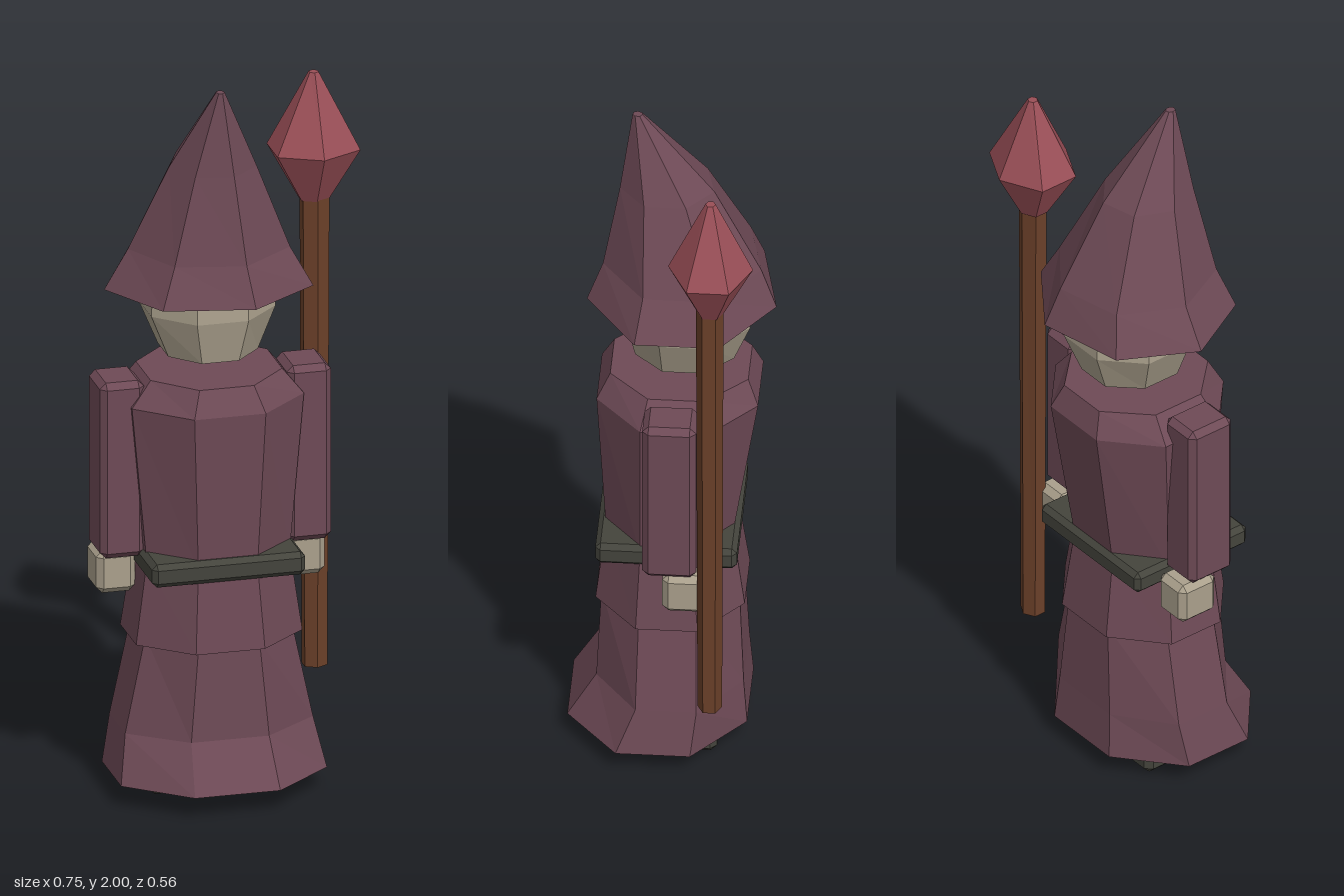
import * as THREE from 'three';
import { ConvexGeometry } from 'three/addons/geometries/ConvexGeometry.js';

const CX = -0.057; // the figure stands left of the staff

function makeMaterial(name, color) {
  const material = new THREE.MeshStandardMaterial({ color });
  material.name = name;
  return material;
}

// Closed faceted solid through rings listed bottom to top: [x, y, z, radiusX, radiusZ]
function loft(rings, sides, startAngle) {
  const points = rings.map(([x, y, z, rx, rz]) =>
    Array.from({ length: sides }, (_, i) => {
      const a = startAngle + (i / sides) * Math.PI * 2;
      return [x + Math.cos(a) * rx, y, z + Math.sin(a) * rz];
    }));
  const pos = [];
  const tri = (a, b, c) => pos.push(...a, ...b, ...c);
  const bottom = rings[0].slice(0, 3);
  const top = rings[rings.length - 1].slice(0, 3);
  for (let i = 0; i < sides; i++) {
    const j = (i + 1) % sides;
    for (let r = 0; r < rings.length - 1; r++) {
      const lo = points[r], hi = points[r + 1];
      tri(lo[i], hi[i], hi[j]);
      tri(lo[i], hi[j], lo[j]);
    }
    tri(bottom, points[0][i], points[0][j]);
    tri(top, points[rings.length - 1][j], points[rings.length - 1][i]);
  }
  const geometry = new THREE.BufferGeometry();
  geometry.setAttribute('position', new THREE.Float32BufferAttribute(pos, 3));
  geometry.computeVertexNormals();
  return geometry;
}

// Eight-sided body with flat front, back and sides: [y, halfWidth, zFront, zBack]
function octagonLoft(rows) {
  const k = Math.cos(Math.PI / 8);
  return loft(rows.map(([y, halfWidth, zf, zb]) =>
    [CX, y, (zf + zb) / 2, halfWidth / k, (zf - zb) / 2 / k]), 8, Math.PI / 8);
}

// Box with all edges cut at 45 degrees
function chamferBox(w, h, d, c) {
  const points = [];
  for (const sx of [-1, 1]) for (const sy of [-1, 1]) for (const sz of [-1, 1]) {
    const x = w / 2, y = h / 2, z = d / 2;
    points.push(
      new THREE.Vector3(sx * x, sy * (y - c), sz * (z - c)),
      new THREE.Vector3(sx * (x - c), sy * y, sz * (z - c)),
      new THREE.Vector3(sx * (x - c), sy * (y - c), sz * z));
  }
  return new ConvexGeometry(points);
}

export function createModel() {
  const robe = makeMaterial('plum robe', 0x6e4a56);
  const skin = makeMaterial('pale skin', 0xaaa08c);
  const leather = makeMaterial('dark leather', 0x44443c);
  const wood = makeMaterial('brown wood', 0x6b4029);
  const gem = makeMaterial('red crystal', 0x9a4f57);

  const model = new THREE.Group();
  model.name = 'robedFigure';
  const add = (name, geometry, material, x = 0, y = 0, z = 0) => {
    const mesh = new THREE.Mesh(geometry, material);
    mesh.name = name;
    mesh.position.set(x, y, z);
    model.add(mesh);
  };

  // Robe: flared skirt under a tunic with sloped shoulders
  add('skirt', octagonLoft([
    [0.06, 0.285, 0.277, -0.205],
    [0.19, 0.26, 0.2, -0.195],
    [0.46, 0.203, 0.188, -0.183],
  ]), robe);
  add('tunic', octagonLoft([
    [0.44, 0.23, 0.203, -0.197],
    [0.67, 0.198, 0.176, -0.165],
    [1.11, 0.238, 0.2, -0.233],
    [1.18, 0.182, 0.165, -0.205],
  ]), robe);
  add('belt', chamferBox(0.424, 0.065, 0.38, 0.014), leather, CX, 0.668, 0.006);

  // Head
  add('head', octagonLoft([
    [1.23, 0.124, 0.1, -0.165],
    [1.35, 0.172, 0.125, -0.21],
    [1.48, 0.165, 0.115, -0.2],
  ]), skin);

  // Seven-sided hat with its tip leaning forward
  add('hat', loft([
    [CX, 1.42, -0.026, 0.289, 0.261],
    [CX, 1.53, -0.026, 0.223, 0.218],
    [CX, 1.77, 0.016, 0.12, 0.13],
    [CX, 2.0, 0.097, 0.012, 0.014],
  ], 7, Math.PI), robe);

  // Mirrored arms, hands and feet
  for (const [side, s] of [['right', -1], ['left', 1]]) {
    add(side + 'Arm', chamferBox(0.122, 0.5, 0.145, 0.017), robe, CX + s * 0.259, 0.93, -0.01);
    add(side + 'Hand', chamferBox(0.108, 0.12, 0.122, 0.017), skin, CX + s * 0.262, 0.622, -0.052);
    add(side + 'Foot', chamferBox(0.138, 0.09, 0.206, 0.018), leather, CX + s * 0.121, 0.045, -0.026);
  }

  // Staff and crystal
  add('staff', loft([
    [0.262, 0.26, -0.12, 0.036, 0.033],
    [0.262, 1.6, -0.12, 0.042, 0.037],
  ], 6, Math.PI / 6), wood);
  add('crystal', loft([
    [0.26, 1.59, -0.122, 0.044, 0.038],
    [0.26, 1.735, -0.122, 0.1325, 0.114],
    [0.26, 1.95, -0.122, 0.014, 0.014],
  ], 6, Math.PI / 6), gem);

  return model;
}
